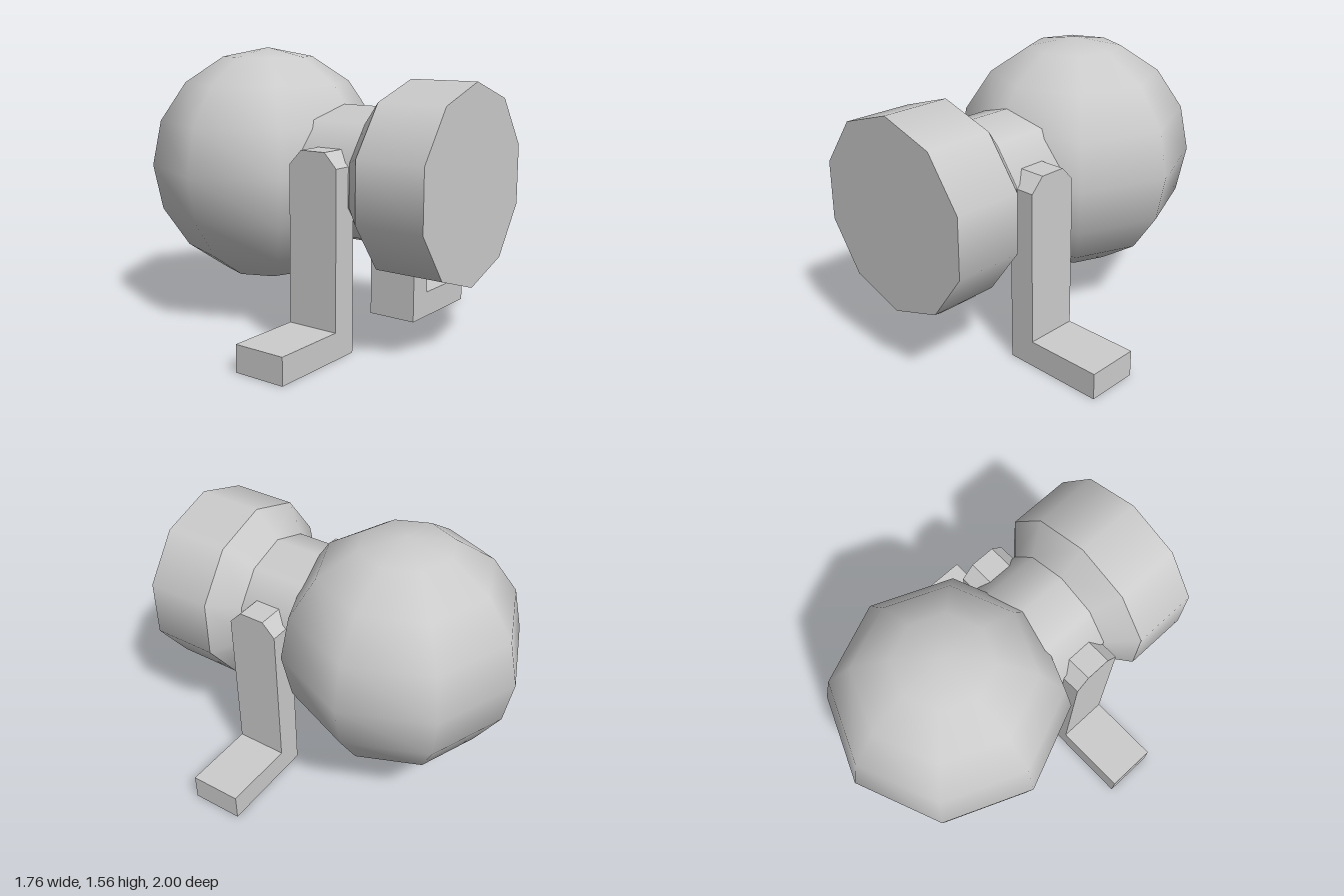
import * as THREE from 'three';

const material = new THREE.MeshStandardMaterial({ color: 0xcccccc });
const AXIS_Y = 0.89; // height of the barrel axis

export function createModel() {
  const model = new THREE.Group();
  model.name = 'ballCameraOnLegs';

  const add = (parent, name, geometry, x, y, z) => {
    const mesh = new THREE.Mesh(geometry, material);
    mesh.name = name;
    mesh.position.set(x, y, z);
    parent.add(mesh);
    return mesh;
  };

  // Round body at the back
  add(model, 'body', new THREE.SphereGeometry(0.666, 8, 8), 0, AXIS_Y, -0.334);

  // Ten-sided barrel along z: neck, flare and front drum
  const section = (name, rBack, rFront, zBack, zFront, open) => {
    const g = new THREE.CylinderGeometry(rFront, rBack, zFront - zBack, 10, 1, open);
    g.rotateX(Math.PI / 2);
    add(model, name, g, 0, AXIS_Y, (zBack + zFront) / 2);
  };
  section('neck', 0.37, 0.37, 0, 0.487, true);
  section('flare', 0.37, 0.52, 0.487, 0.622, true);
  section('drum', 0.52, 0.52, 0.622, 1, false);

  // Upright profile with a chamfered top, drawn with shape x = -z
  const profile = new THREE.Shape([
    [-0.48, 0], [-0.187, 0], [-0.187, 0.985], [-0.26, 1.062], [-0.407, 1.062], [-0.48, 0.985],
  ].map(([x, y]) => new THREE.Vector2(x, y)));
  const upright = new THREE.ExtrudeGeometry(profile, { depth: 0.15, bevelEnabled: false });
  upright.rotateY(Math.PI / 2);
  const foot = new THREE.BoxGeometry(0.425, 0.146, 0.293);

  // Mirrored L-shaped legs
  for (const side of [1, -1]) {
    const leg = new THREE.Group();
    leg.name = side > 0 ? 'leftLeg' : 'rightLeg';
    add(leg, 'upright', upright, side > 0 ? 0.305 : -0.455, 0, 0);
    add(leg, 'foot', foot, side * 0.6675, 0.073, 0.3335);
    model.add(leg);
  }
  return model;
}
